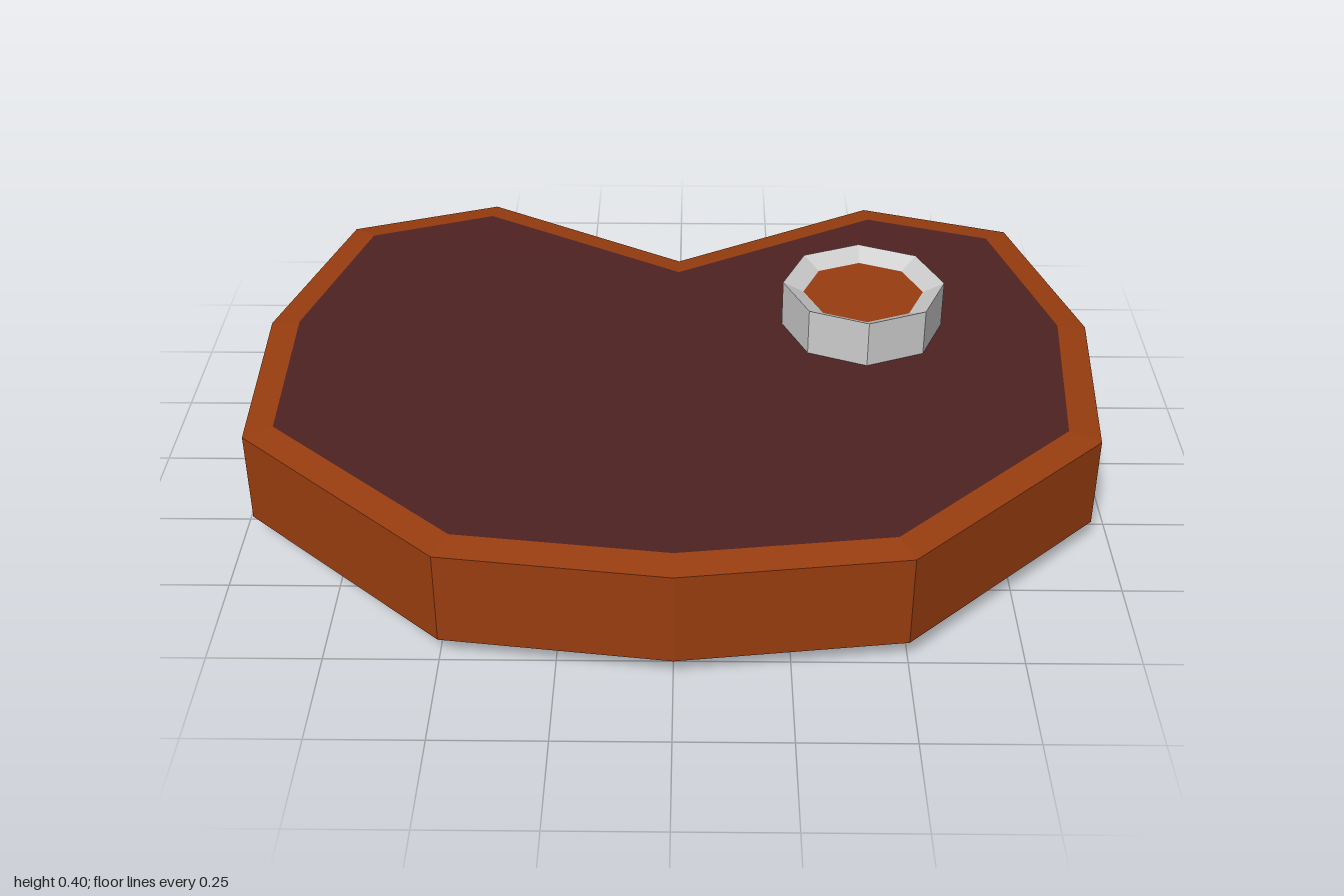
import * as THREE from 'three';

// Matching corners of the slab, as [x, z]: outer wall and inset cut face
const OUTER = [[0, -0.515], [0.5, -0.81], [0.865, -0.685], [1, -0.19], [0.955, 0.315], [0.5, 0.75],
  [0, 0.815], [-0.5, 0.75], [-0.975, 0.315], [-1, -0.19], [-0.865, -0.685], [-0.5, -0.82]];
const INNER = [[0, -0.44], [0.505, -0.735], [0.81, -0.63], [0.93, -0.18], [0.885, 0.285], [0.47, 0.685],
  [0, 0.745], [-0.47, 0.685], [-0.91, 0.285], [-0.93, -0.18], [-0.81, -0.63], [-0.505, -0.745]];

const material = (color) => new THREE.MeshStandardMaterial({ color, flatShading: true });

// Skin a stack of closed outlines, listed from bottom to top
function bandGeometry(rings) {
  const positions = [], indices = [], n = rings[0].outline.length;
  for (const { outline, y } of rings) for (const [x, z] of outline) positions.push(x, y, z);
  for (let r = 0; r < rings.length - 1; r++) {
    for (let i = 0; i < n; i++) {
      const a = r * n + i, b = r * n + (i + 1) % n;
      indices.push(a, a + n, b, a + n, b + n, b);
    }
  }
  const geometry = new THREE.BufferGeometry();
  geometry.setAttribute('position', new THREE.Float32BufferAttribute(positions, 3));
  geometry.setIndex(indices);
  geometry.computeVertexNormals();
  return geometry;
}

// Flat polygon facing up (side = 1) or down (side = -1)
function faceGeometry(outline, side) {
  const shape = new THREE.Shape(outline.map(([x, z]) => new THREE.Vector2(x, -side * z)));
  return new THREE.ShapeGeometry(shape).rotateX(-side * Math.PI / 2);
}

export function createModel() {
  const model = new THREE.Group();
  const fat = material(0x993d0f), meat = material(0x4f2222), bone = material(0xcccccc);

  function add(name, geometry, mat, x = 0, y = 0, z = 0) {
    const mesh = new THREE.Mesh(geometry, mat);
    mesh.name = name;
    mesh.position.set(x, y, z);
    model.add(mesh);
  }

  // Rind with gently sloping rims
  add('rind', bandGeometry([
    { outline: INNER, y: 0.04 }, { outline: OUTER, y: 0.055 },
    { outline: OUTER, y: 0.275 }, { outline: INNER, y: 0.285 },
  ]), fat);

  // Cut faces
  add('meatTop', faceGeometry(INNER, 1), meat, 0, 0.285, 0);
  add('meatBottom', faceGeometry(INNER, -1), meat, 0, 0.04, 0);

  // Eight-sided bone ring passing through the slab, its ends dished inward
  const profile = [[0.145, 0.025], [0.195, 0], [0.195, 0.4], [0.145, 0.375]];
  add('bone', new THREE.LatheGeometry(profile.map(([r, y]) => new THREE.Vector2(r, y)), 8),
    bone, 0.45, 0, -0.185);

  // Filled ends of the bone
  add('marrowTop', new THREE.CircleGeometry(0.145, 8).rotateX(-Math.PI / 2), fat, 0.45, 0.375, -0.185);
  add('marrowBottom', new THREE.CircleGeometry(0.145, 8).rotateX(Math.PI / 2), meat, 0.45, 0.025, -0.185);

  return model;
}
